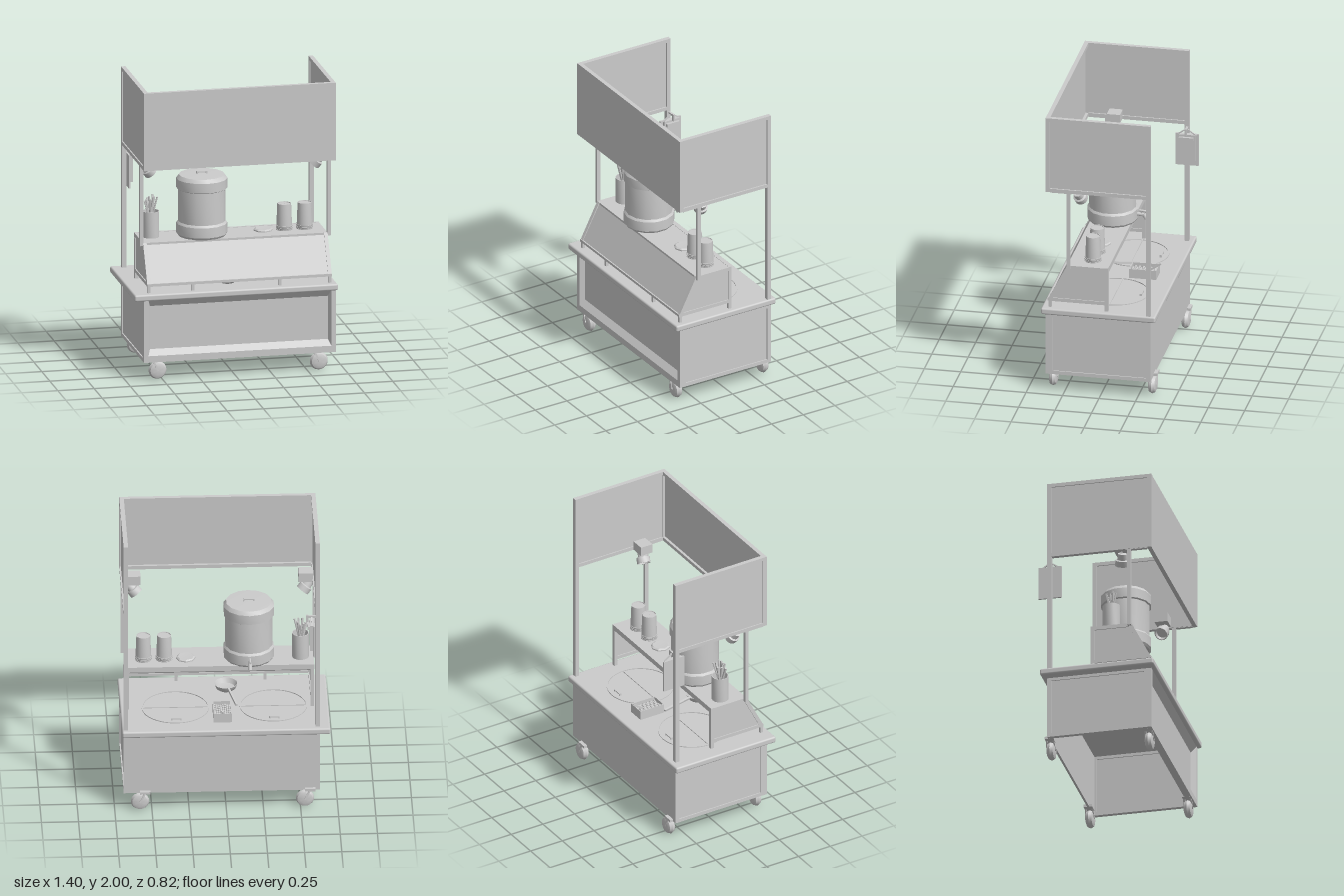
import * as THREE from 'three';
import { RoundedBoxGeometry } from 'three/addons/geometries/RoundedBoxGeometry.js';
import { mergeGeometries, toCreasedNormals } from 'three/addons/utils/BufferGeometryUtils.js';

const mat = new THREE.MeshStandardMaterial({ color: 0xcccccc });
const thin = new THREE.MeshStandardMaterial({ color: 0xcccccc, side: THREE.DoubleSide });
const V = (x, y, z) => new THREE.Vector3(x, y, z);

export function createModel() {
  const root = new THREE.Group();
  const add = (name, geo, x = 0, y = 0, z = 0, parent = root, m = mat) => {
    const mesh = new THREE.Mesh(geo, m);
    mesh.name = name;
    mesh.position.set(x, y, z);
    parent.add(mesh);
    return mesh;
  };
  const group = (name, x = 0, y = 0, z = 0) => {
    const g = new THREE.Group();
    g.name = name;
    g.position.set(x, y, z);
    root.add(g);
    return g;
  };
  // Box given by its limits on each axis
  const box = (name, x0, x1, y0, y1, z0, z1, parent) =>
    add(name, new THREE.BoxGeometry(x1 - x0, y1 - y0, z1 - z0), (x0 + x1) / 2, (y0 + y1) / 2, (z0 + z1) / 2, parent);
  // Square or round bar between two points
  const bar = (name, a, b, w, parent = root, round = false) => {
    const len = a.distanceTo(b);
    const geo = round ? new THREE.CylinderGeometry(w / 2, w / 2, len, 8) : new THREE.BoxGeometry(w, len, w);
    const mesh = add(name, geo, 0, 0, 0, parent);
    mesh.position.copy(a).add(b).multiplyScalar(0.5);
    mesh.quaternion.setFromUnitVectors(V(0, 1, 0), b.clone().sub(a).normalize());
    return mesh;
  };
  const lathe = (pts, n, crease = 0.6) =>
    toCreasedNormals(new THREE.LatheGeometry(pts.map(p => new THREE.Vector2(...p)), n), crease);

  const L = -0.63, R = 0.69, F = 0.38, B = -0.34, T = 0.03;

  // Counter
  add('counterTop', new RoundedBoxGeometry(1.4, 0.045, 0.785, 2, 0.012), 0, 0.5825, 0.0175);

  // Cabinet, open underneath
  box('cabinetBack', L + T, R - T, 0.125, 0.565, B, B + 0.015);
  for (const x of [L, R - T]) {
    box('cabinetFrontPost', x, x + T, 0.125, 0.565, F - 0.05, F);
    box('cabinetRearPost', x, x + T, 0.125, 0.565, B, B + T);
    box('cabinetSideRail', x, x + T, 0.125, 0.15, B + T, F - 0.05);
    box('cabinetSideRail', x, x + T, 0.54, 0.565, B + T, F - 0.05);
    box('cabinetSidePanel', x + 0.008, x + 0.022, 0.14, 0.55, B + T, F - 0.05);
  }
  box('cabinetFrontRail', L + T, R - T, 0.125, 0.17, F - 0.05, F);
  box('cabinetFrontPanel', L + T, R - T, 0.17, 0.565, F - 0.05, F - 0.035);
  // Bevels around the front panel
  const bevelGeo = (len, w) => {
    const s = new THREE.Shape([new THREE.Vector2(0, 0), new THREE.Vector2(w, 0), new THREE.Vector2(0, 0.035)]);
    return new THREE.ExtrudeGeometry(s, { depth: len, bevelEnabled: false });
  };
  const bevel = (len, w, x, y, dir, up) => {
    const geo = bevelGeo(len, w);
    geo.applyMatrix4(new THREE.Matrix4().makeBasis(dir, V(0, 0, 1), up));
    add('panelBevel', geo, x, y, F - 0.035);
  };
  bevel(1.26, 0.04, R - T, 0.17, V(0, 1, 0), V(1, 0, 0).negate().negate());
  root.children.at(-1).position.x = L + T;
  bevel(1.26, 0.05, R - T, 0.56, V(0, -1, 0), V(-1, 0, 0));
  bevel(0.39, 0.018, L + T, 0.56, V(1, 0, 0), V(0, -1, 0));
  bevel(0.39, 0.018, R - T, 0.17, V(-1, 0, 0), V(0, 1, 0));

  // Casters
  for (const x of [-0.53, 0.58]) for (const z of [0.345, -0.335]) {
    const g = group('caster', x, 0.0625, z);
    const wheel = lathe([[0.001, -0.026], [0.03, -0.028], [0.052, -0.02], [0.062, 0], [0.052, 0.02], [0.03, 0.028], [0.001, 0.026]], 20, 0.5);
    add('wheel', wheel.rotateX(Math.PI / 2), 0, 0, 0, g);
    for (const s of [-1, 1]) bar('fork', V(0, 0, s * 0.027), V(-0.035, 0.07, s * 0.022), 0.012, g);
    box('casterPlate', -0.07, 0.0, 0.062, 0.08, -0.03, 0.03, g);
  }

  // Canopy boards and posts
  for (const x of [L, R - T]) {
    box('rearPost', x, x + T, 0.6, 2, B, B + T);
    box('canopyFrontPost', x, x + T, 1.46, 2, F - T, F);
    box('canopySideRail', x, x + T, 1.975, 2, B + T, F - T);
    box('canopySideRail', x, x + T, 1.46, 1.485, B + T, F - T);
    box('canopySidePanel', x + 0.008, x + 0.02, 1.48, 1.98, B + T, F - T);
    box('frontPost', x + 0.003, x + 0.027, 0.9, 1.47, 0.212, 0.237);
  }
  box('canopyFrontPanel', L + T, R - T, 1.46, 2, F - 0.012, F - 0.001);
  for (const y of [1.46, 1.975]) box('canopyFrontRail', L + T, R - T, y, y + 0.025, F - T, F - 0.012);
  // Rails that carry the front posts
  for (const x of [L, R - T]) box('postBracket', x + 0.003, x + 0.027, 1.455, 1.475, 0.2, F - T);

  // Raised serving shelf with sloping guard
  const x0 = -0.605, x1 = 0.665;
  box('shelf', x0, x1, 0.895, 0.92, -0.045, 0.235);
  box('shelfRearRail', x0, x1, 0.885, 0.922, -0.045, -0.025);
  const slope = Math.atan2(0.135, 0.255);
  add('guardPanel', new THREE.BoxGeometry(x1 - x0 - 0.02, 0.29, 0.012), (x0 + x1) / 2, 0.785, 0.292).rotation.x = -slope;
  box('guardBottomRail', x0, x1, 0.65, 0.668, 0.343, 0.37);
  const sideShape = new THREE.Shape([[-0.03, 0.665], [0.35, 0.665], [0.225, 0.905], [-0.03, 0.905]].map(p => new THREE.Vector2(...p)));
  for (const x of [x0, x1 - 0.025]) {
    const g = group('shelfEnd', x + 0.0125);
    const side = new THREE.ExtrudeGeometry(sideShape, { depth: 0.01, bevelEnabled: false }).rotateY(-Math.PI / 2);
    add('sidePanel', side, 0.005, 0, 0, g);
    bar('slopingBar', V(0, 0.655, 0.358), V(0, 0.915, 0.224), 0.025, g);
    bar('bottomBar', V(0, 0.662, -0.03), V(0, 0.662, 0.36), 0.024, g);
    bar('rearLeg', V(0, 0.6, -0.033), V(0, 0.91, -0.033), 0.024, g);
  }
  for (const x of [-0.592, -0.29, 0.31, 0.652]) box('guardFoot', x - 0.01, x + 0.01, 0.6, 0.66, 0.345, 0.365);

  // Flush round lids in the counter, hinged across the middle
  for (const x of [-0.33, 0.33]) {
    const g = group('counterLid', x, 0.605, -0.03);
    const rim = lathe([[0.219, 0], [0.219, 0.006], [0.227, 0.006], [0.227, 0]], 40);
    add('lidRim', rim, 0, 0, 0, g, thin);
    box('lidHinge', -0.222, 0.222, 0, 0.005, -0.004, 0.004, g);
    box('lidHandle', -0.035, 0.035, 0.009, 0.016, -0.186, -0.17, g);
    for (const s of [-0.031, 0.031]) box('lidHandleFoot', s - 0.004, s + 0.004, 0, 0.012, -0.186, -0.17, g);
  }

  // Drink urn
  const urn = group('urn', -0.17, 0.92, 0.095);
  add('urnBody', lathe([[0.001, 0], [0.162, 0], [0.172, 0.015], [0.172, 0.085], [0.161, 0.1], [0.161, 0.322],
    [0.172, 0.328], [0.173, 0.395], [0.155, 0.42], [0.001, 0.425]], 14, 0.55), 0, 0, 0, urn);
  box('urnHandle', -0.037, 0.037, 0.432, 0.44, -0.011, 0.011, urn);
  for (const s of [-0.033, 0.033]) box('urnHandleFoot', s - 0.005, s + 0.005, 0.415, 0.435, -0.011, 0.011, urn);
  bar('tapPipe', V(0, 0.05, -0.15), V(0, 0.045, -0.215), 0.026, urn, true);
  bar('tapSpout', V(0, 0.052, -0.212), V(0, 0.018, -0.232), 0.028, urn, true);
  bar('tapStem', V(0, 0.04, -0.2), V(0, 0.075, -0.2), 0.014, urn, true);
  bar('tapLever', V(0, 0.075, -0.185), V(0, 0.07, -0.235), 0.016, urn, true);

  // Stacks of upturned cups
  for (const x of [0.4, 0.54]) {
    const pts = [];
    for (let i = 0; i < 3; i++) pts.push([0.057, i * 0.012], [0.057, i * 0.012 + 0.006], [0.053, i * 0.012 + 0.006]);
    pts.push([0.047, 0.18], [0.043, 0.18], [0.042, 0.175], [0.001, 0.175]);
    add('cupStack', lathe(pts, 20), x, 0.92, 0.083, root, thin);
  }
  add('cupLid', lathe([[0.001, 0], [0.065, 0], [0.065, 0.008], [0.055, 0.015], [0.001, 0.012]], 8, 0.3), 0.255, 0.92, 0.083);

  // Utensil pot
  const pot = group('utensilPot', -0.517, 0.92, 0.08);
  add('pot', lathe([[0.001, 0], [0.057, 0], [0.057, 0.18], [0.052, 0.18], [0.052, 0.02], [0.001, 0.02]], 16), 0, 0, 0, pot, thin);
  for (let i = 0; i < 11; i++) {
    const a = i * 2.4, r = 0.012 + 0.003 * i;
    const c = Math.cos(a) * r, s = Math.sin(a) * r;
    bar('utensil', V(-c * 0.5, 0.03, -s * 0.5), V(c * 1.25 - 0.002, 0.235 + 0.05 * Math.abs(Math.sin(i * 1.7)), s * 1.1), 0.012, pot, i % 2 === 0);
  }

  // Spotlights under the canopy
  for (const [x, s] of [[-0.555, 1], [0.605, -1]]) {
    const g = group('spotlight', x, 1.41, 0.16);
    box('lampBox', -0.048, 0.048, 0.055, 0.12, -0.045, 0.045, g);
    bar('lampArm', V(-s * 0.02, 0.06, 0), V(-s * 0.02, 0.01, 0), 0.018, g);
    const can = lathe([[0.001, 0.05], [0.03, 0.05], [0.034, 0.01], [0.046, 0.005], [0.046, -0.035], [0.04, -0.035], [0.036, -0.015], [0.001, -0.015]].reverse(), 16);
    const lamp = add('lampHead', can, 0, 0, 0, g, thin);
    lamp.quaternion.setFromUnitVectors(V(0, -1, 0), V(s * 0.62, -0.75, -0.2).normalize());
  }

  // Hanging pad by the right rear post
  const pad = group('hangingPad', -0.575, 0, -0.33);
  box('padBoard', -0.02, -0.008, 1.17, 1.4, -0.08, 0.08, pad);
  box('padSheets', -0.008, 0.012, 1.21, 1.4, -0.06, 0.06, pad);
  box('padClip', -0.008, 0.03, 1.365, 1.385, -0.05, 0.05, pad);
  for (const s of [-1, 1]) bar('padString', V(0, 1.395, s * 0.065), V(0, 1.44, 0), 0.008, pad);
  bar('padHook', V(-0.04, 1.44, 0), V(0.03, 1.44, 0), 0.014, pad);
  bar('padHookTip', V(0.03, 1.4, 0), V(0.03, 1.45, 0), 0.014, pad);

  // Tray of pellets with scoop
  const tray = group('pelletTray', 0.02, 0.605, -0.162);
  box('trayFloor', -0.06, 0.06, 0, 0.008, -0.093, 0.093, tray);
  for (const s of [-1, 1]) {
    box('traySide', s * 0.058 - 0.003, s * 0.058 + 0.003, 0, 0.065, -0.093, 0.093, tray);
    box('trayEnd', -0.06, 0.06, 0, 0.065, s * 0.09 - 0.003, s * 0.09 + 0.003, tray);
  }
  const pellets = [];
  for (let i = 0; i < 8; i++) for (let j = 0; j < 13; j++) {
    const p = new THREE.IcosahedronGeometry(0.0085, 1);
    pellets.push(p.translate(-0.049 + i * 0.014, 0.035 + 0.005 * Math.sin(i * 5 + j * 3), -0.082 + j * 0.0137));
  }
  add('pellets', mergeGeometries(pellets), 0, 0, 0, tray);
  box('pelletBed', -0.056, 0.056, 0.008, 0.033, -0.088, 0.088, tray);
  bar('scoopHandle', V(0, 0.045, -0.04), V(0, 0.095, -0.115), 0.012, tray);

  // Small pan under the shelf
  const pan = group('pan', -0.02, 0.605, 0.21);
  add('panBowl', lathe([[0.001, 0.003], [0.045, 0.003], [0.066, 0.018], [0.082, 0.052], [0.077, 0.052], [0.06, 0.021], [0.001, 0.01]], 16), 0, 0, 0, pan, thin);
  bar('panHandle', V(-0.015, 0.046, -0.075), V(-0.06, 0.042, -0.3), 0.014, pan);

  return root;
}
